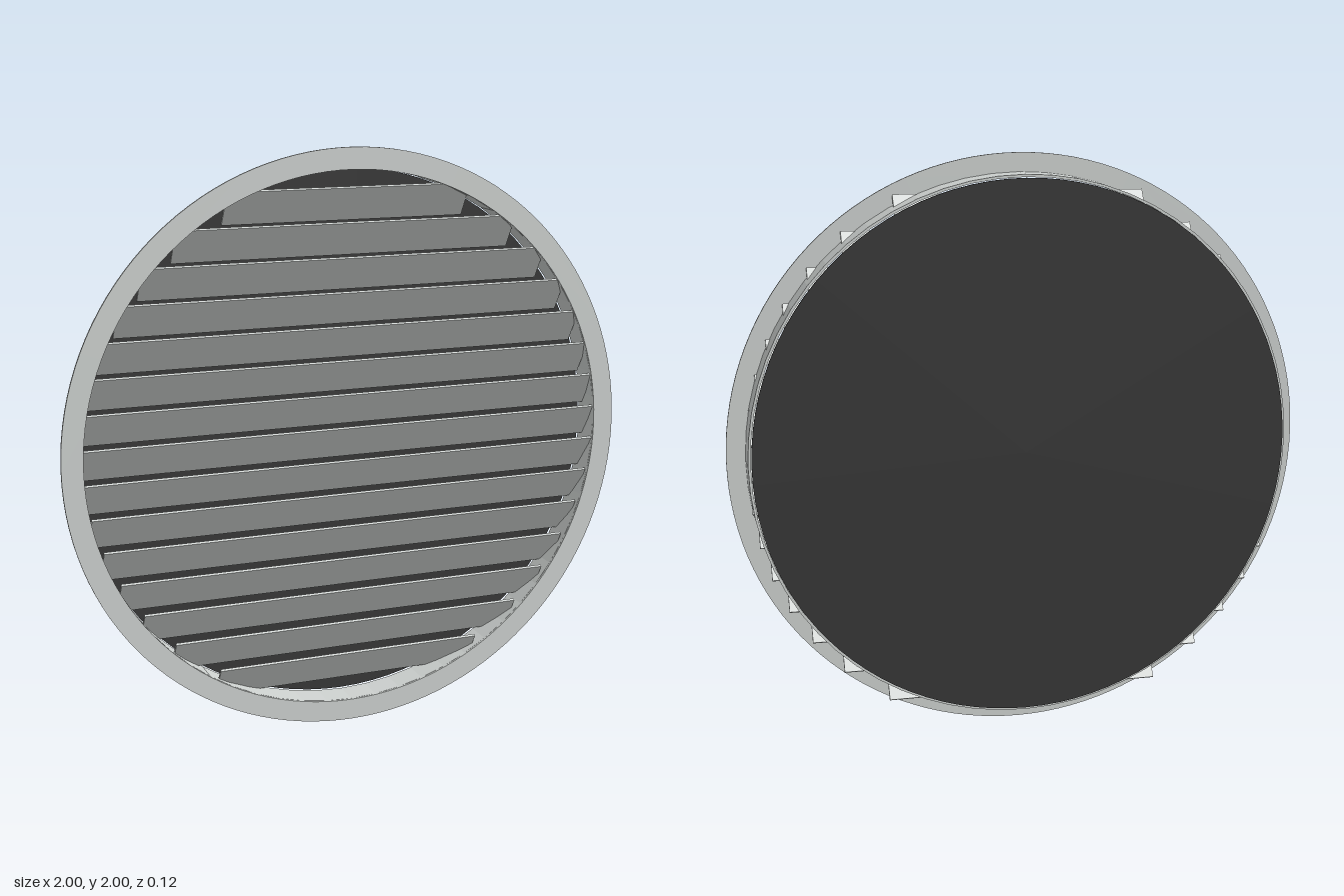
import * as THREE from 'three';

// Flat ring facing +z, from z0 to z1
function ring(outer, inner, z0, z1, segments) {
  const shape = new THREE.Shape().absarc(0, 0, outer, 0, Math.PI * 2, false);
  shape.holes.push(new THREE.Path().absarc(0, 0, inner, 0, Math.PI * 2, true));
  const geo = new THREE.ExtrudeGeometry(shape, {
    depth: z1 - z0, bevelEnabled: false, curveSegments: segments / 2,
  });
  return geo.translate(0, 0, z0);
}

export function createModel() {
  const group = new THREE.Group();
  const metal = new THREE.MeshStandardMaterial({ color: 0xced2d0 });
  metal.name = 'light grey metal';
  const dark = new THREE.MeshStandardMaterial({ color: 0x373737 });
  dark.name = 'dark screen';

  const add = (name, geo, mat, parent = group) => {
    const mesh = new THREE.Mesh(geo, mat);
    mesh.name = name;
    parent.add(mesh);
    return mesh;
  };

  // Everything is built around the vent's centre, then raised onto the ground
  const vent = new THREE.Group();
  vent.name = 'roundVent';
  vent.position.y = 1;
  group.add(vent);

  // Front flange and the short duct collar behind it
  add('flange', ring(1, 0.927, 0.052, 0.06, 128), metal, vent);
  add('collar', ring(0.936, 0.927, -0.05, 0.052, 64), metal, vent);

  // Dark screen closing the back, just clear of the collar
  const screen = new THREE.CylinderGeometry(0.925, 0.925, 0.006, 96);
  screen.rotateX(Math.PI / 2);
  add('backScreen', screen, dark, vent).position.z = -0.059;

  // Sloping slats: front edge high, back edge low, ends poking through the collar
  const louvers = new THREE.Group();
  louvers.name = 'louvers';
  vent.add(louvers);
  const pitch = 0.116, tilt = THREE.MathUtils.degToRad(32.5);
  for (let i = -7; i <= 7; i++) {
    const y = i * pitch;
    const halfWidth = Math.sqrt(0.93 ** 2 - (y + 0.014) ** 2);
    const slat = add('louver', new THREE.BoxGeometry(halfWidth * 2, 0.134, 0.009), metal, louvers);
    slat.position.set(0, y, 0.012);
    slat.rotation.x = tilt;
  }
  return group;
}
